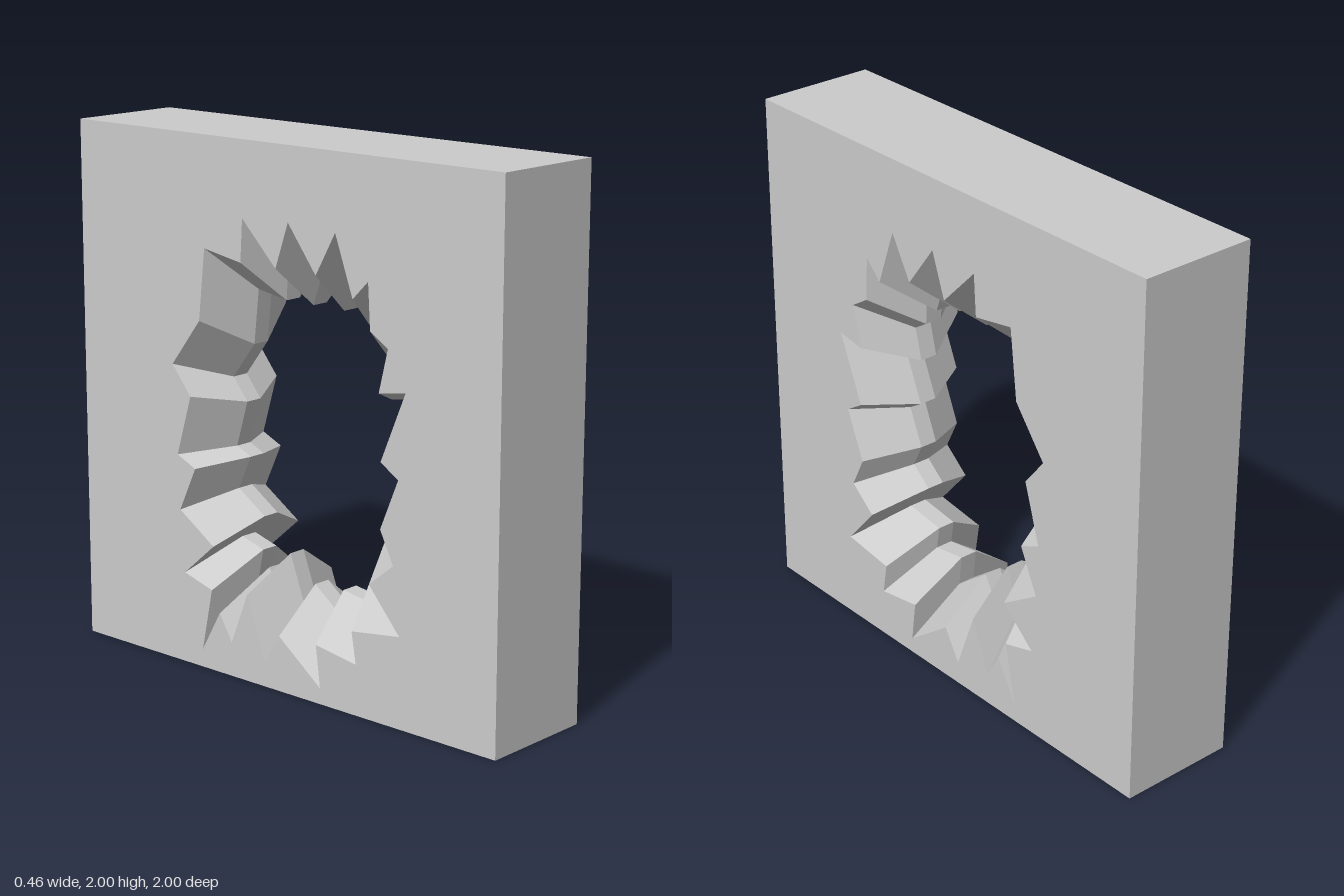
import * as THREE from 'three';

const HALF = 0.23;   // half thickness of the slab
const BAND = 0.035;  // half width of the narrow band in the middle of the hole
const SHRINK = 0.77; // the hole narrows toward the middle
const CENTRE_Y = 0.87;

// jagged hole outline as [z, y], clockwise seen from +x
const outline = [
  [0.05, 1.73], [-0.01, 1.56], [-0.17, 1.72], [-0.18, 1.56], [-0.36, 1.59], [-0.39, 1.32],
  [-0.53, 1.14], [-0.44, 1.03], [-0.51, 0.80], [-0.42, 0.76], [-0.50, 0.59], [-0.33, 0.48],
  [-0.48, 0.35], [-0.34, 0.31], [-0.39, 0.07], [-0.30, 0.23], [-0.24, 0.13], [-0.16, 0.33],
  [-0.07, 0.09], [0, 0.21], [0.20, 0.06], [0.18, 0.22], [0.37, 0.19], [0.35, 0.31],
  [0.57, 0.34], [0.43, 0.50], [0.54, 0.59], [0.48, 0.71], [0.56, 0.90], [0.48, 0.95],
  [0.59, 1.21], [0.47, 1.19], [0.51, 1.35], [0.43, 1.40], [0.42, 1.57], [0.35, 1.50],
  [0.27, 1.72], [0.18, 1.56],
];

// square face with the jagged opening, on the +x or -x side
function faceGeometry(side) {
  const shape = new THREE.Shape([[-1, 0], [1, 0], [1, 2], [-1, 2]].map(p => new THREE.Vector2(...p)));
  shape.holes.push(new THREE.Path(outline.map(([z, y]) => new THREE.Vector2(-side * z, y))));
  return new THREE.ShapeGeometry(shape).rotateY(side * Math.PI / 2).translate(side * HALF, 0, 0);
}

// joins successive rings of points with flat quads
function loft(rings) {
  const pos = [];
  for (let r = 0; r < rings.length - 1; r++) {
    const a = rings[r], b = rings[r + 1];
    for (let i = 0; i < a.length; i++) {
      const j = (i + 1) % a.length;
      pos.push(...a[i], ...b[i], ...a[j], ...a[j], ...b[i], ...b[j]);
    }
  }
  const geo = new THREE.BufferGeometry();
  geo.setAttribute('position', new THREE.Float32BufferAttribute(pos, 3));
  geo.computeVertexNormals();
  return geo;
}

const ring = (x, s) => outline.map(([z, y]) => [x, CENTRE_Y + (y - CENTRE_Y) * s, z * s]);

export function createModel() {
  const group = new THREE.Group();
  group.name = 'slabWithJaggedHole';
  const material = new THREE.MeshStandardMaterial({ color: 0xcccccc, flatShading: true });
  const add = (geo, name) => {
    const mesh = new THREE.Mesh(geo, material);
    mesh.name = name;
    group.add(mesh);
  };

  // the two broad faces
  add(faceGeometry(1), 'leftFace');
  add(faceGeometry(-1), 'rightFace');

  // four outer edges of the slab
  const corners = x => [[x, 2, 1], [x, 0, 1], [x, 0, -1], [x, 2, -1]];
  add(loft([corners(HALF), corners(-HALF)]), 'outerEdges');

  // lining of the hole, narrowing to the middle band and widening again
  add(loft([ring(HALF, 1), ring(BAND, SHRINK), ring(-BAND, SHRINK), ring(-HALF, 1)]), 'holeLining');

  return group;
}
